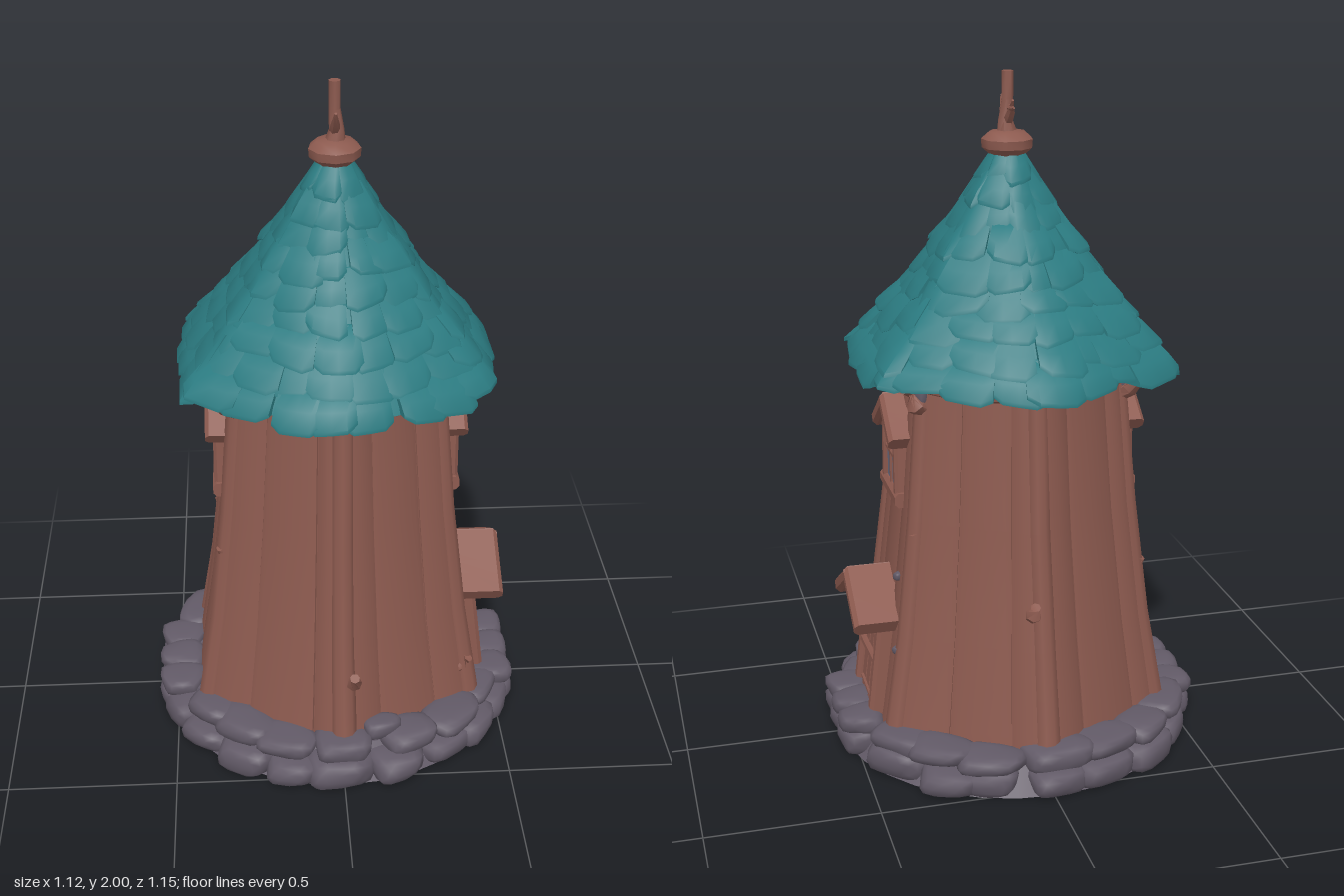
import * as THREE from 'three';
import { toCreasedNormals, mergeVertices, mergeGeometries } from 'three/addons/utils/BufferGeometryUtils.js';

let seed = 7;
const rnd = (a = 0, b = 1) => {
  seed = (seed * 16807) % 2147483647;
  return a + (b - a) * (seed / 2147483647);
};
const V = (x, y, z) => new THREE.Vector3(x, y, z);
const mat = (name, color) => Object.assign(new THREE.MeshStandardMaterial({ color }), { name });
const SIX = [0, 1, 2, 3, 4, 5];
const HEX = Math.PI / 3;

// point at a distance out along direction a, shifted sideways
const polar = (a, out, side, y) =>
  V(out * Math.cos(a) - side * Math.sin(a), y, out * Math.sin(a) + side * Math.cos(a));

// closed solid through equal-length cross-sections
function skin(sections, crease = 0.6) {
  const n = sections[0].length, pos = [], tris = [];
  const at = (i, j) => sections[i][j % n];
  for (let i = 0; i < sections.length - 1; i++)
    for (let j = 0; j < n; j++)
      tris.push([at(i, j), at(i + 1, j), at(i + 1, j + 1)], [at(i, j), at(i + 1, j + 1), at(i, j + 1)]);
  const e = sections.length - 1;
  for (let j = 1; j < n - 1; j++)
    tris.push([at(0, 0), at(0, j), at(0, j + 1)], [at(e, 0), at(e, j + 1), at(e, j)]);
  const o = sections[0][0];
  let vol = 0;
  for (const [a, b, c] of tris)
    vol += a.clone().sub(o).dot(b.clone().sub(o).cross(c.clone().sub(o)));
  for (const [a, b, c] of tris)
    for (const p of vol < 0 ? [a, c, b] : [a, b, c]) pos.push(p.x, p.y, p.z);
  const g = new THREE.BufferGeometry();
  g.setAttribute('position', new THREE.Float32BufferAttribute(pos, 3));
  return toCreasedNormals(g, crease);
}

// round bar along a list of points with a radius at each
function branch(points, radii, sides = 7) {
  return skin(points.map((p, i) => {
    const d = points[Math.min(i + 1, points.length - 1)].clone().sub(points[Math.max(i - 1, 0)]).normalize();
    const u = (Math.abs(d.y) > 0.8 ? V(1, 0, 0) : V(0, 1, 0)).cross(d).normalize(), v = d.clone().cross(u);
    return Array.from({ length: sides }, (_, k) => {
      const t = (k / sides) * Math.PI * 2;
      return p.clone().addScaledVector(u, radii[i] * Math.cos(t)).addScaledVector(v, radii[i] * Math.sin(t));
    });
  }), 0.9);
}

// soft rounded stone, flat where it meets the ground
function stone(a, r, y, depth, width, height) {
  let g = new THREE.IcosahedronGeometry(1, 2);
  g.deleteAttribute('normal');
  g.deleteAttribute('uv');
  g = mergeVertices(g, 1e-3);
  const p = g.attributes.position, k = rnd(0, 6), soft = (v) => Math.sign(v) * Math.abs(v) ** 0.7;
  for (let i = 0; i < p.count; i++) {
    const x = p.getX(i), h = p.getY(i), z = p.getZ(i);
    const s = 0.95 + 0.12 * Math.sin(3 * x + k) * Math.cos(2.5 * z + 2 * h + k);
    const q = polar(a, r + soft(x) * depth * s, soft(z) * width * s, y + soft(h) * height * s);
    p.setXYZ(i, q.x, Math.max(q.y, 0), q.z);
  }
  g.computeVertexNormals();
  return g;
}

// piecewise-linear lookup
const lookup = (table) => (x) => {
  let i = 0;
  while (i < table.length - 2 && x > table[i + 1][0]) i++;
  const [x0, v0] = table[i], [x1, v1] = table[i + 1];
  return v0 + ((v1 - v0) * (x - x0)) / (x1 - x0);
};
const wallAt = lookup([[0.05, 0.428], [0.14, 0.415], [0.4, 0.376], [0.75, 0.338], [1.18, 0.302]]);
const roofAt = lookup([[1.14, 0.462], [1.2, 0.43], [1.25, 0.388], [1.4, 0.272], [1.6, 0.142], [1.79, 0.035]]);
// hexagonal swelling of the roof, softer at the front and back corners
const hexFactor = (a) => {
  const d = a - Math.round(a / HEX) * HEX;
  return 1 + (Math.abs(Math.sin(a)) > 0.866 ? 0.2 : 0.85) * (1 / Math.cos(d) - 1);
};

export function createModel() {
  seed = 7;
  const wood = mat('brown wood', 0x8c5a4f), shingle = mat('teal shingle', 0x2b7b81);
  const rock = mat('grey stone', 0x625a67), glass = mat('window glass', 0x6c6e84);
  const model = new THREE.Group();
  const add = (name, geo, material, parent = model) => {
    const m = new THREE.Mesh(Array.isArray(geo) ? mergeGeometries(geo) : geo, material);
    m.name = name;
    parent.add(m);
    return m;
  };

  // stone footing
  const footing = new THREE.CylinderGeometry(0.47, 0.535, 0.1, 32);
  footing.translate(0, 0.05, 0);
  add('footing', footing, rock);
  const stones = [];
  for (const [count, r, y, d, h, off] of [[20, 0.492, 0.038, 0.082, 0.05, 0], [18, 0.474, 0.1, 0.075, 0.038, 0.13]])
    for (let i = 0; i < count; i++) {
      const a = ((i + rnd(-0.2, 0.2)) / count) * Math.PI * 2 + off;
      if (Math.abs(Math.sin(a)) < 0.3) continue;
      stones.push(stone(a, r + rnd(-0.014, 0.01), y + rnd(-0.006, 0.006), d, (r * Math.PI / count) * rnd(1.1, 1.4), h * rnd(0.8, 1.15)));
    }
  for (const a of [0, Math.PI])
    for (const z of [-0.115, 0, 0.115])
      for (const y of [0.04, 0.095]) {
        const g = stone(0, 0.485, y, 0.074, 0.07, y < 0.05 ? 0.05 : 0.036);
        stones.push(g.translate(0, 0, z).rotateY(a));
      }
  // a stone leaning on the front wall
  stones.push(stone(1.31, 0.45, 0.135, 0.04, 0.06, 0.034));
  add('footingStones', stones, rock);

  // six walls of broad planks over a solid core
  const levels = [0.05, 0.14, 0.4, 0.75, 1.18];
  add('wallCore', skin(levels.map((y) => SIX.map((k) => polar((k + 0.5) * HEX, (wallAt(y) - 0.008) * 1.1547, 0, y)))), wood);
  const planks = [], posts = [], rafters = [];
  for (const k of SIX) {
    const cuts = [-0.93, -0.45 + rnd(-0.12, 0.12), 0.35 + rnd(-0.12, 0.12), 0.93];
    for (let i = 0; i < 3; i++) {
      const lift = rnd(-0.002, 0.006);
      planks.push(skin(levels.map((y) => {
        const w = wallAt(y), half = w * 0.577, o = w + lift + rnd(-0.002, 0.002);
        const l = cuts[i] * half + 0.001, r = cuts[i + 1] * half - 0.001;
        return [[w - 0.03, l], [o - 0.006, l], [o, l + 0.015], [o + 0.004, (l + r) / 2], [o, r - 0.015], [o - 0.006, r], [w - 0.03, r]]
          .map(([out, s]) => polar(k * HEX, out, s, y));
      }), 0.8));
    }
    // corner post, with a rafter end above the side ones
    const a = (k + 0.5) * HEX;
    posts.push(branch(levels.map((y) => polar(a, wallAt(y) * 1.1547 - 0.028, rnd(-0.003, 0.003), y)), [0.04, 0.038, 0.035, 0.033, 0.032], 9));
    if (Math.abs(Math.cos(a)) > 0.1)
      rafters.push(branch([polar(a, 0.32, 0, 1.07), polar(a, 0.365, 0, 1.1), polar(a, 0.4, 0, 1.16)], [0.024, 0.03, 0.032], 7));
  }
  add('wallPlanks', planks, wood);
  add('cornerPosts', posts, wood);
  add('rafterEnds', rafters, wood);

  // broken twigs and knots on the walls
  const twigs = [[1.5, 0.32, 0.465], [-1.5, 0.53, 0.43], [-2.62, 0.55, 0.41], [2.62, 0.62, 0.4], [0.56, 0.22, 0.465], [-0.55, 0.7, 0.385]];
  add('twigStubs', twigs.map(([a, y, r]) =>
    branch([polar(a, r - 0.05, 0, y - 0.03), polar(a, r - 0.015, 0, y - 0.01), polar(a, r + 0.004, 0, y + 0.02)], [0.026, 0.024, 0.015], 7)), wood);
  // little wedges of stone under the eaves and between the planks
  add('wallPebbles', [[0.55, 0.35, 1.125], [-0.55, 0.35, 1.125], [2.59, 0.35, 1.125], [-2.59, 0.35, 1.125], [-0.36, 0.39, 0.56], [-0.47, 0.43, 0.35]]
    .map(([a, r, y]) => stone(a, r, y, 0.018, 0.016, y > 1 ? 0.03 : 0.014)), rock);

  // eave ring
  const ring = [[0.29, 1.125], [0.345, 1.13], [0.39, 1.15], [0.395, 1.18], [0.29, 1.19], [0.29, 1.125]];
  add('eaveRing', toCreasedNormals(new THREE.LatheGeometry(ring.map((p) => new THREE.Vector2(...p)), 18), 0.5), wood);

  // roof core and overlapping rows of ragged shingles
  const ringOf = (y, s) => Array.from({ length: 36 }, (_, i) => {
    const a = (i / 36) * Math.PI * 2;
    return polar(a, roofAt(y) * hexFactor(a) * s, 0, y);
  });
  add('roofCore', skin([ringOf(1.18, 0.9), ringOf(1.18, 0.98), ...[1.2, 1.25, 1.4, 1.6, 1.79].map((y) => ringOf(y, 0.98))]), shingle);
  const tiles = [];
  const rows = 9;
  for (let r = 0; r < rows; r++) {
    const y0 = 1.165 + r * 0.066, count = Math.max(7, Math.round(23 - r * 2));
    for (let i = 0; i < count; i++) {
      const a0 = ((i + (r % 2) / 2 + rnd(-0.2, 0.2)) / count) * Math.PI * 2;
      const span = ((Math.PI * 2) / count) * rnd(1.1, 1.4), drop = rnd(-0.018, 0.014), lift = rnd(0.006, 0.026);
      const tilt = rnd(-0.014, 0.014), under = r ? -0.022 : -0.05;
      tiles.push(skin([0, 0.2, 0.5, 0.8, 1].map((t) => {
        const a = a0 + (t - 0.5) * span, edge = Math.abs(t - 0.5) > 0.45 ? 1 : 0;
        const low = y0 + drop + tilt * (t - 0.5) * 2 + edge * 0.014, top = Math.min(y0 + 0.1, 1.79);
        const mid = (low + top) / 2, up = lift * (r > 5 ? 0.5 : 1) - edge * 0.006, f = hexFactor(a);
        return [[top, -0.012], [top, 0.002], [mid, up * 0.7], [low + 0.012, up], [low, up - 0.006], [low + 0.004, under]]
          .map(([y, o]) => polar(a, Math.max(0.008, roofAt(Math.max(y, 1.14)) * f + o), 0, y));
      }), 0.8));
    }
  }
  add('roofShingles', tiles, shingle);

  // finial
  const cap = [[0, 1.765], [0.05, 1.765], [0.073, 1.785], [0.075, 1.81], [0.052, 1.83], [0, 1.838]];
  add('finialCap', toCreasedNormals(new THREE.LatheGeometry(cap.map((p) => new THREE.Vector2(...p)), 9), 0.7), wood);
  add('finialBranch', [
    branch([V(0, 1.81, 0), V(0.006, 1.86, 0), V(0, 1.92, 0), V(0, 2, 0)], [0.034, 0.022, 0.017, 0.017]),
    ...[1, -1].map((s) => branch([V(0, 1.855, 0), V(0, 1.885, s * 0.035), V(0, 1.925, s * 0.062)], [0.016, 0.013, 0.004], 6)),
    branch([V(0, 1.9, -0.03), V(0, 1.9, -0.05), V(0, 1.905, -0.075)], [0.01, 0.008, 0.003], 6),
  ], wood);

  // bevelled beam between two points of a wall-facing plane (z, y), spanning x0 to x1
  const beam = (z0, y0, z1, y1, thick, x0, x1) => {
    const d = V(0, y1 - y0, z1 - z0).normalize(), n = V(0, -d.z, d.y), h = thick / 2, b = thick * 0.25;
    const section = (y, z) => [[x0, -h], [x1 - b, -h], [x1, -h + b], [x1, h - b], [x1 - b, h], [x0, h]]
      .map(([x, o]) => V(x, y, z).addScaledVector(n, o));
    return skin([section(y0, z0), section((y0 + y1) / 2, (z0 + z1) / 2 + rnd(-0.003, 0.003)), section(y1, z1)]);
  };
  // thin plate facing +x
  const plate = (points, x) => {
    const s = new THREE.Shape(points.map(([z, y]) => new THREE.Vector2(-z, y)));
    return new THREE.ExtrudeGeometry(s, { depth: 0.008, bevelEnabled: false }).rotateY(Math.PI / 2).translate(x, 0, 0);
  };

  // a gabled window on each of the two side walls
  for (const [name, turn] of [['rightWindow', 0], ['leftWindow', Math.PI]]) {
    const w = new THREE.Group();
    w.name = name;
    w.rotation.y = turn;
    model.add(w);
    add('glass', plate([[-0.068, 0.8], [0.068, 0.8], [0.068, 0.95], [0, 1.02], [-0.068, 0.95]], 0.345), glass, w);
    add('windowFrame', [
      ...[-1, 1].map((s) => beam(s * 0.086, 0.79, s * 0.08, 0.98, 0.038, 0.29, 0.364)),
      beam(0, 0.8, 0, 1.03, 0.018, 0.3, 0.359),
      beam(-0.08, 0.9, 0.08, 0.9, 0.018, 0.3, 0.359),
      beam(-0.115, 0.785, 0.115, 0.785, 0.044, 0.29, 0.368),
    ], wood, w);
    add('windowHood', [-1, 1].map((s) => beam(s * 0.126, 0.965, -s * 0.008, 1.064, 0.046, 0.29, 0.386)), wood, w);
  }

  // arched door under a gabled hood
  const door = new THREE.Group();
  door.name = 'door';
  door.position.set(0.44, 0.07, 0);
  door.rotation.z = 0.12;
  model.add(door);
  const arch = Array.from({ length: 9 }, (_, i) => {
    const t = (i / 8) * Math.PI;
    return [0.078 * Math.cos(t), 0.25 + 0.105 * Math.sin(t)];
  });
  add('doorPanel', plate([[-0.078, 0], [0.078, 0], ...arch], 0.006), wood, door);
  add('doorArch', branch(arch.map(([z, y]) => V(0.014, y, z)), arch.map(() => 0.012), 6), wood, door);
  add('doorFrame', [
    ...[-1, 1].map((s) => beam(s * 0.112, 0, s * 0.106, 0.35, 0.044, -0.06, 0.028)),
    beam(-0.1, 0.02, 0.1, 0.02, 0.035, -0.05, 0.03),
    beam(-0.095, 0.2, 0.095, 0.19, 0.026, -0.04, 0.028),
    beam(-0.07, 0.07, 0.07, 0.075, 0.014, -0.04, 0.02),
    beam(-0.028, 0.03, -0.028, 0.34, 0.006, -0.03, 0.016),
    beam(0.028, 0.03, 0.028, 0.34, 0.006, -0.03, 0.016),
  ], wood, door);
  add('doorGable', plate([[-0.12, 0.34], [0.12, 0.34], [0, 0.44]], 0), wood, door);
  // the hood stays level while the door leans with the wall
  const hood = add('doorHood', [-1, 1].map((s) => beam(s * 0.17, 0.345, -s * 0.01, 0.455, 0.05, -0.085, 0.068)), wood, door);
  hood.rotation.z = -0.12;
  return model;
}
